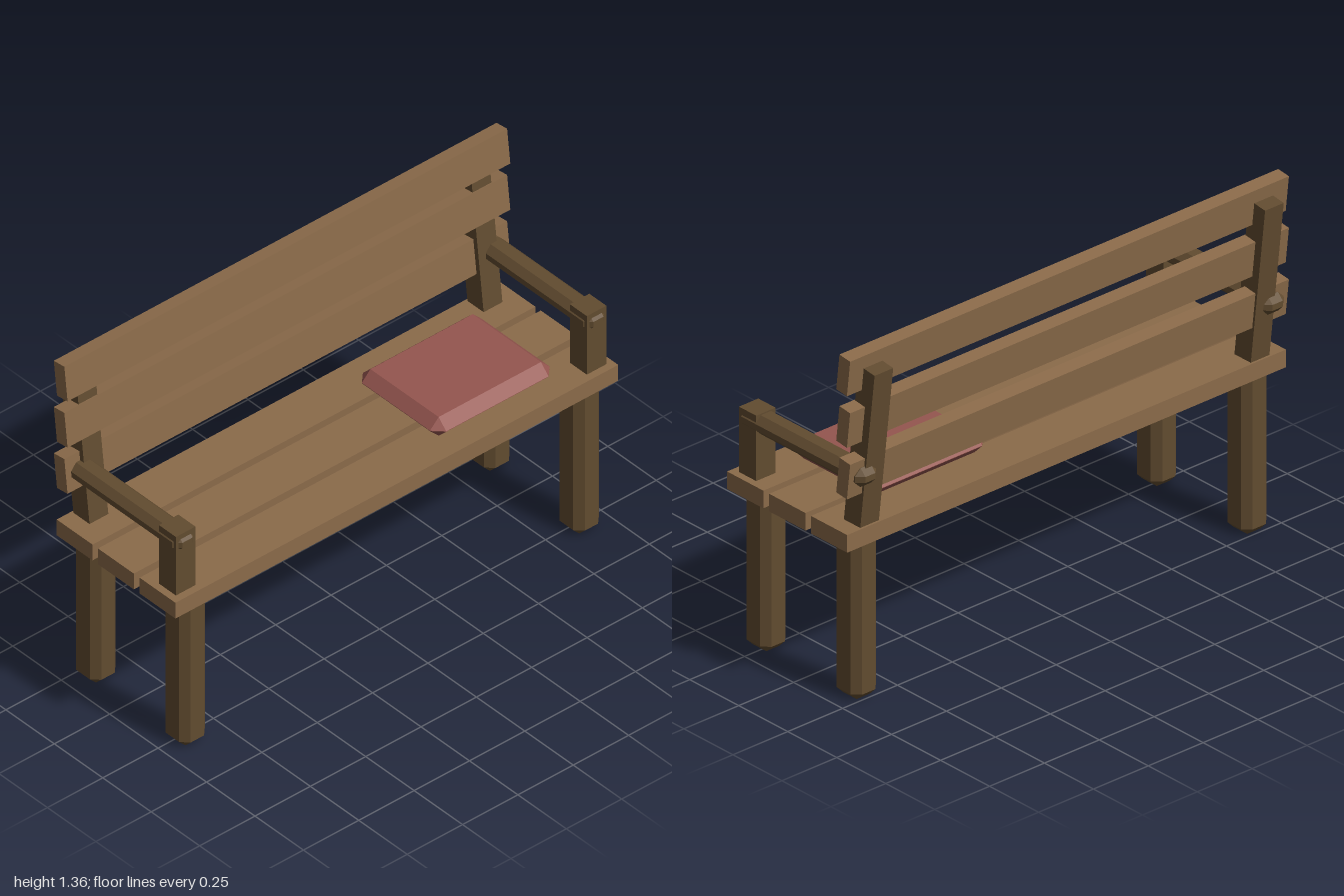
import * as THREE from 'three';
import { ConvexGeometry } from 'three/addons/geometries/ConvexGeometry.js';

const plankWood = new THREE.MeshStandardMaterial({ color: 0x8b6b4a, flatShading: true });
const frameWood = new THREE.MeshStandardMaterial({ color: 0x624c30, flatShading: true });
const cloth = new THREE.MeshStandardMaterial({ color: 0x95564f, flatShading: true });

const LEAN = -0.118; // backward tilt of the backrest

// Box whose edges and corners are all cut off by b
function chamferBox(w, h, d, b) {
  const points = [];
  for (const sx of [-1, 1]) for (const sy of [-1, 1]) for (const sz of [-1, 1]) {
    const x = w / 2, y = h / 2, z = d / 2;
    points.push(
      new THREE.Vector3(sx * x, sy * (y - b), sz * (z - b)),
      new THREE.Vector3(sx * (x - b), sy * y, sz * (z - b)),
      new THREE.Vector3(sx * (x - b), sy * (y - b), sz * z),
    );
  }
  return new ConvexGeometry(points);
}

export function createModel() {
  const bench = new THREE.Group();
  bench.name = 'bench';

  const add = (name, geometry, material, x, y, z, tilt = 0) => {
    const mesh = new THREE.Mesh(geometry, material);
    mesh.name = name;
    mesh.position.set(x, y, z);
    mesh.rotation.x = tilt;
    bench.add(mesh);
  };

  // Seat planks
  const seatPlank = new THREE.BoxGeometry(2, 0.068, 0.185);
  [0.247, 0.032, -0.181].forEach((z, i) => add(`seatPlank${i + 1}`, seatPlank, plankWood, 0, 0.644, z));

  // Backrest slats
  const backSlat = new THREE.BoxGeometry(2, 0.141, 0.055);
  [0.888, 1.087, 1.286].forEach((y, i) => add(`backSlat${i + 1}`, backSlat, plankWood, 0, y, -0.253, LEAN));

  // Legs, back posts and armrests, mirrored left and right
  const leg = chamferBox(0.116, 0.66, 0.126, 0.028);
  const backPost = new THREE.BoxGeometry(0.085, 0.67, 0.083);
  const armPost = new THREE.BoxGeometry(0.088, 0.29, 0.088);
  const armrest = chamferBox(0.096, 0.073, 0.632, 0.025);
  for (const [side, s] of [['left', 1], ['right', -1]]) {
    add(`${side}FrontLeg`, leg, frameWood, s * 0.89, 0.33, 0.264);
    add(`${side}BackLeg`, leg, frameWood, s * 0.89, 0.33, -0.197);
    add(`${side}BackPost`, backPost, frameWood, s * 0.89, 0.966, -0.257, LEAN);
    add(`${side}ArmPost`, armPost, frameWood, s * 0.928, 0.785, 0.266);
    add(`${side}Armrest`, armrest, frameWood, s * 0.928, 0.888, 0.004);
  }

  // Seat cushion
  add('cushion', chamferBox(0.54, 0.08, 0.43, 0.039), cloth, 0.513, 0.719, 0.057);

  return bench;
}
